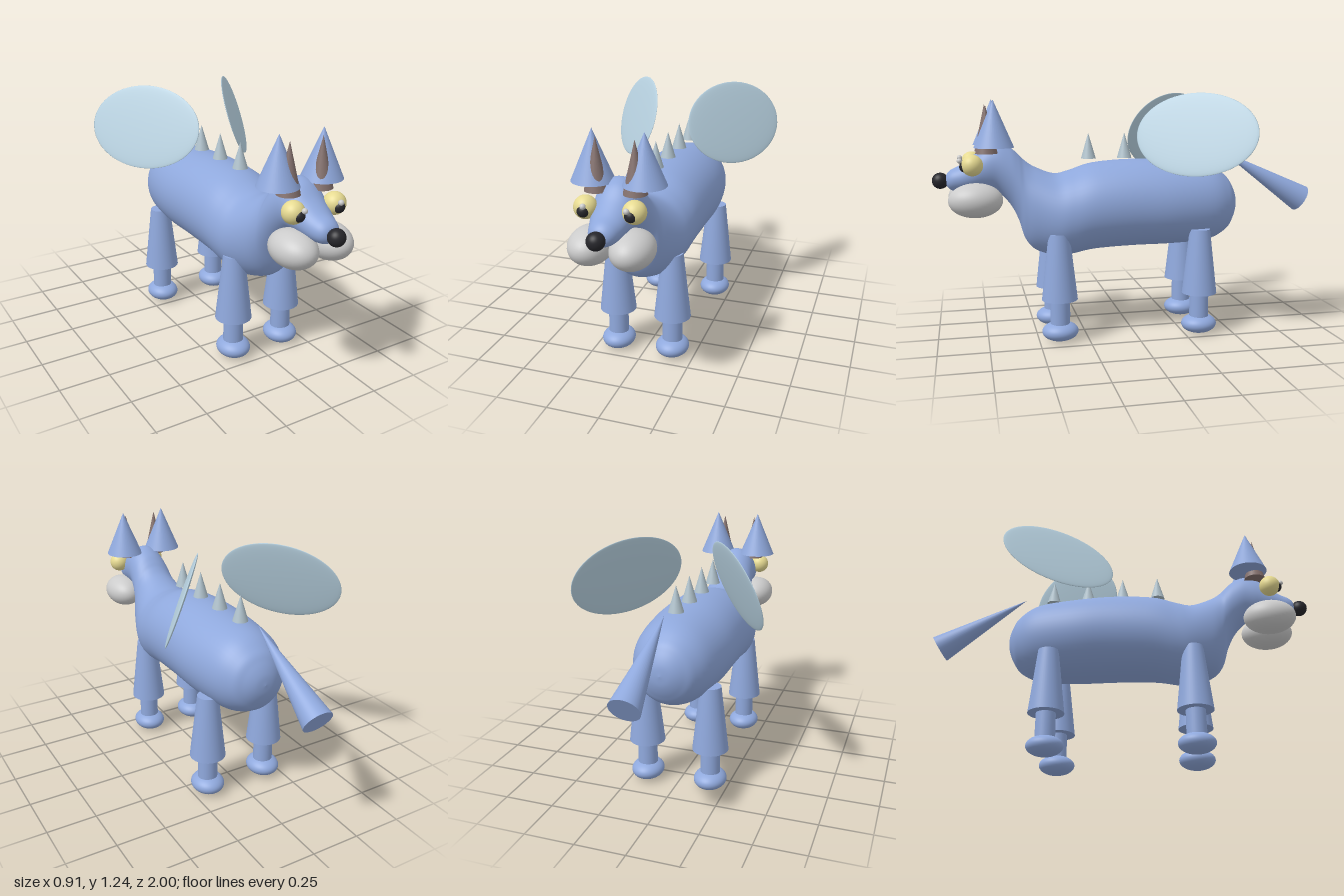
import * as THREE from 'three';

const mat = (color) => new THREE.MeshStandardMaterial({ color });
const BLUE = mat(0x8fa8dc), GREY = mat(0xcccccc), BLACK = mat(0x26262b), YELLOW = mat(0xe6da92);
const BROWN = mat(0x85726f), SPIKE = mat(0xb0c2cc), WING = mat(0xb9d3e2);

function add(parent, name, geometry, material, x = 0, y = 0, z = 0) {
  const mesh = new THREE.Mesh(geometry, material);
  mesh.name = name;
  mesh.position.set(x, y, z);
  parent.add(mesh);
  return mesh;
}

const ball = (rx, ry = rx, rz = rx) => new THREE.SphereGeometry(1, 40, 28).scale(rx, ry, rz);

// Body, neck and head as one smooth skin: [z, top, bottom, half width]
const STATIONS = [
  [-0.573, 0.672, 0.672, 0], [-0.565, 0.725, 0.615, 0.055], [-0.54, 0.778, 0.558, 0.105],
  [-0.5, 0.826, 0.51, 0.152], [-0.4, 0.88, 0.468, 0.2], [-0.2, 0.9, 0.457, 0.23],
  [0, 0.908, 0.456, 0.232], [0.2, 0.893, 0.447, 0.227], [0.32, 0.857, 0.425, 0.215],
  [0.4, 0.843, 0.42, 0.198], [0.5, 0.88, 0.455, 0.16], [0.55, 0.915, 0.515, 0.135],
  [0.58, 0.945, 0.61, 0.122], [0.62, 0.98, 0.69, 0.112], [0.68, 1.008, 0.752, 0.104],
  [0.74, 0.992, 0.765, 0.1], [0.8, 0.938, 0.765, 0.09], [0.86, 0.895, 0.764, 0.074],
  [0.905, 0.873, 0.77, 0.058], [0.928, 0.85, 0.79, 0.035], [0.934, 0.82, 0.82, 0],
];

function bodyGeometry(rings = 120, sides = 48) {
  const curve = (f) => new THREE.CatmullRomCurve3(STATIONS.map(f), false, 'catmullrom', 0.5);
  const heights = curve(([z, t, b]) => new THREE.Vector3(z, t, b));
  const widths = curve(([z, , , w]) => new THREE.Vector3(w, z, 0));
  const pos = [], index = [];
  for (let i = 0; i <= rings; i++) {
    const h = heights.getPoint(i / rings), w = Math.max(0, widths.getPoint(i / rings).x);
    const mid = (h.y + h.z) / 2, half = Math.max(0, (h.y - h.z) / 2);
    for (let j = 0; j < sides; j++) {
      const a = (j / sides) * Math.PI * 2;
      pos.push(Math.cos(a) * w, mid + Math.sin(a) * half, h.x);
      if (i === rings) continue;
      const p = i * sides + j, q = i * sides + ((j + 1) % sides);
      index.push(p, q, q + sides, p, q + sides, p + sides);
    }
  }
  const g = new THREE.BufferGeometry();
  g.setAttribute('position', new THREE.Float32BufferAttribute(pos, 3));
  g.setIndex(index);
  g.computeVertexNormals();
  return g;
}

function leg(name, x, z) {
  const g = new THREE.Group();
  g.name = name;
  g.position.set(x, 0, z);
  add(g, 'upperLeg', new THREE.CylinderGeometry(0.052, 0.09, 0.335, 40), BLUE, 0, 0.3875, 0);
  add(g, 'lowerLeg', new THREE.CylinderGeometry(0.048, 0.05, 0.25, 32), BLUE, 0, 0.185, 0);
  add(g, 'foot', ball(0.082, 0.05, 0.092), BLUE, 0, 0.055, 0);
  return g;
}

export function createModel() {
  const model = new THREE.Group();
  model.name = 'wingedAnimal';
  add(model, 'body', bodyGeometry(), BLUE);
  add(model, 'nose', ball(0.04), BLACK, 0, 0.818, 0.96);

  // Paired parts
  for (const [side, s] of [['left', 1], ['right', -1]]) {
    model.add(leg(side + 'FrontLeg', s * 0.142, 0.395), leg(side + 'HindLeg', s * 0.168, -0.33));

    add(model, side + 'Ear', new THREE.ConeGeometry(0.097, 0.23, 40), BLUE, s * 0.118, 1.1, 0.7);
    add(model, side + 'InnerEar', new THREE.ConeGeometry(0.054, 0.235, 32), BROWN, s * 0.088, 1.072, 0.735);
    add(model, side + 'Cheek', ball(0.098, 0.085, 0.132), GREY, s * 0.095, 0.727, 0.793);

    add(model, side + 'Eye', ball(0.052), YELLOW, s * 0.11, 0.9, 0.805);
    add(model, side + 'Pupil', ball(0.028), BLACK, s * 0.106, 0.894, 0.838);
    add(model, side + 'EyeGlint', ball(0.013), GREY, s * 0.096, 0.922, 0.864);

    // Wing: thin oval plate sweeping back and outward, leaning in at the top
    const wing = add(model, side + 'Wing', ball(0.311, 0.213, 0.012), WING, s * 0.272, 1.046, -0.27);
    const along = new THREE.Vector3(s * 0.1757, 0, -0.257).normalize();
    const up = new THREE.Vector3(s * -0.058, 0.2015, -0.0397).normalize();
    const out = new THREE.Vector3().crossVectors(along, up);
    wing.quaternion.setFromRotationMatrix(new THREE.Matrix4().makeBasis(along, up, out));
  }

  // Spikes along the back
  for (let i = 0; i < 4; i++) {
    add(model, 'backSpike' + (i + 1), new THREE.ConeGeometry(0.038, 0.13, 32), SPIKE, 0, 0.98, 0.22 - i * 0.188);
  }

  // Tail: cone with its tip at the rump and its wide end trailing
  const tip = new THREE.Vector3(0, 0.944, -0.497), end = new THREE.Vector3(0, 0.673, -0.959);
  const tail = add(model, 'tail', new THREE.ConeGeometry(0.073, tip.distanceTo(end), 40), BLUE);
  tail.position.lerpVectors(tip, end, 0.5);
  tail.quaternion.setFromUnitVectors(new THREE.Vector3(0, 1, 0), tip.clone().sub(end).normalize());

  return model;
}
